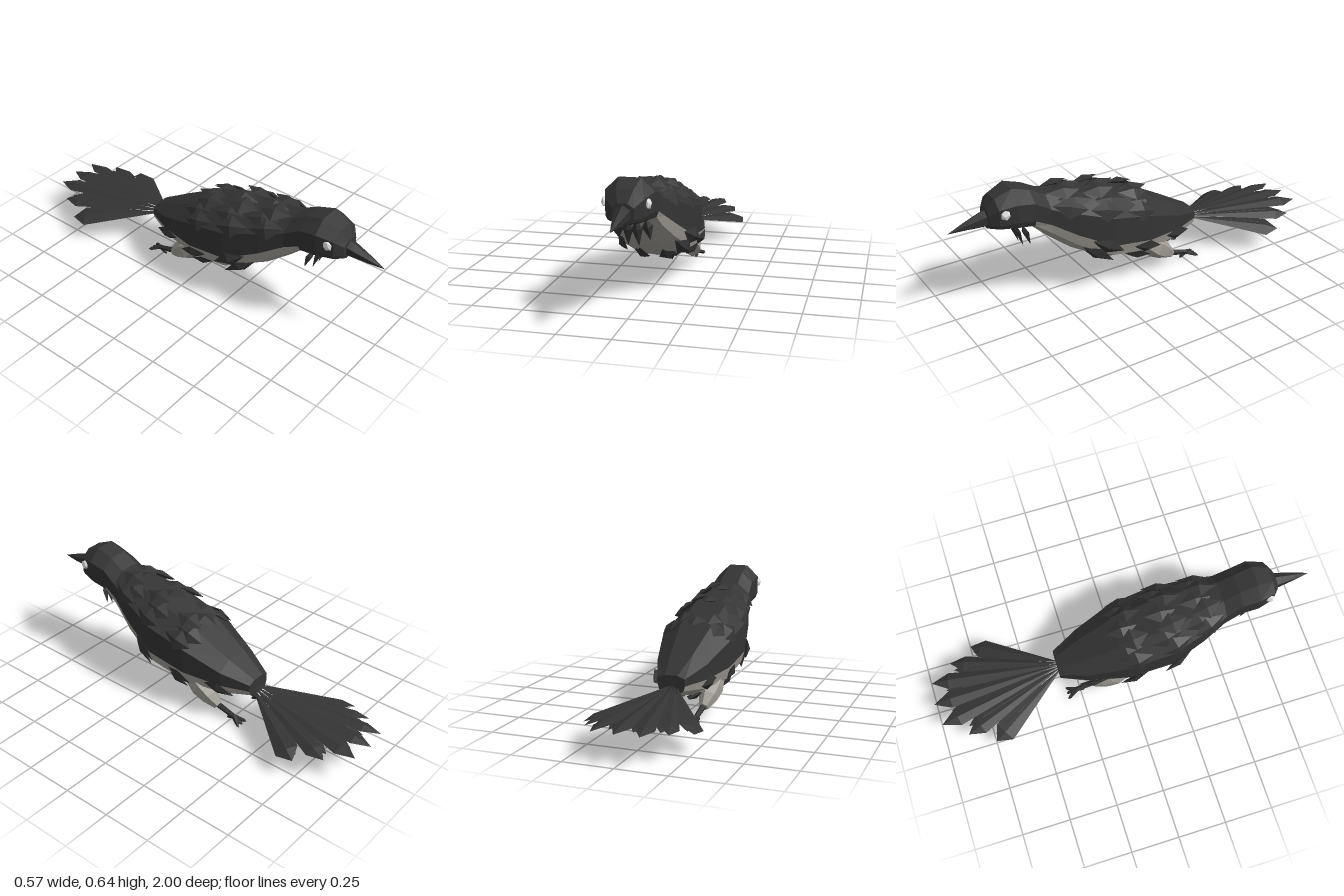
import * as THREE from 'three';

const V = (x, y, z) => new THREE.Vector3(x, y, z);
const material = (name, color) => {
  const m = new THREE.MeshStandardMaterial({ color, flatShading: true });
  m.name = name;
  return m;
};

// Body sections from face to rump: z, half width, top, upper side, lower side, bottom
const SECTIONS = [
  [0.81, 0.05, 0.55, 0.53, 0.48, 0.455],
  [0.775, 0.088, 0.605, 0.565, 0.485, 0.45],
  [0.69, 0.113, 0.64, 0.58, 0.49, 0.435],
  [0.60, 0.107, 0.61, 0.56, 0.47, 0.42],
  [0.52, 0.115, 0.565, 0.51, 0.43, 0.345],
  [0.40, 0.152, 0.535, 0.47, 0.355, 0.25],
  [0.22, 0.19, 0.505, 0.41, 0.26, 0.15],
  [0.0, 0.182, 0.43, 0.36, 0.225, 0.11],
  [-0.2, 0.13, 0.325, 0.28, 0.205, 0.12],
  [-0.34, 0.07, 0.25, 0.235, 0.2, 0.155],
];
const HALF = 6, SIDES = 12;

// Half outline of a section, from the middle of the back to the middle of the belly
function outline([z, w, top, up, low, bottom]) {
  return [V(0, top, z), V(w * 0.45, top, z), V(w, up, z), V(w, low, z),
    V(w * 0.9, low * 0.45 + bottom * 0.55, z), V(w * 0.42, bottom, z), V(0, bottom, z)];
}

function ring(section) {
  const half = outline(section);
  const other = half.slice(1, HALF).reverse().map((p) => V(-p.x, p.y, p.z));
  return [...half, ...other];
}

// Section at any z, and the point at u on its half outline
function sectionAt(z) {
  let j = 0;
  while (j < SECTIONS.length - 2 && SECTIONS[j + 1][0] > z) j++;
  const a = SECTIONS[j], b = SECTIONS[j + 1], t = (a[0] - z) / (a[0] - b[0]);
  return a.map((v, i) => v + (b[i] - v) * t);
}
function surface(z, u) {
  const half = outline(sectionAt(z)), i = Math.min(Math.floor(u), HALF - 1);
  return half[i].clone().lerp(half[i + 1], u - i);
}

function fromTriangles(points) {
  const g = new THREE.BufferGeometry().setFromPoints(points);
  g.computeVertexNormals();
  return g;
}

// Ridged diamond blade from base to tip, widest at fraction f
function feather(base, tip, up, width, height, f = 0.5) {
  const d = tip.clone().sub(base);
  const side = d.clone().cross(up).normalize();
  const n = side.clone().cross(d).normalize();
  const mid = base.clone().addScaledVector(d, f);
  const l = mid.clone().addScaledVector(side, width);
  const r = mid.clone().addScaledVector(side, -width);
  const t = mid.clone().addScaledVector(n, height);
  const b = mid.clone().addScaledVector(n, -height * 0.5);
  return fromTriangles([base, l, t, l, tip, t, tip, r, t, r, base, t,
    l, base, b, tip, l, b, r, tip, b, base, r, b]);
}

// Lathed limb along a to b with [radius, fraction] stations
function limb(a, b, stations, sides = 6) {
  const d = b.clone().sub(a), len = d.length();
  const g = new THREE.LatheGeometry(stations.map(([r, t]) => new THREE.Vector2(r, t * len)), sides);
  g.applyQuaternion(new THREE.Quaternion().setFromUnitVectors(V(0, 1, 0), d.normalize()));
  return g.translate(a.x, a.y, a.z);
}

export function createModel() {
  const plumage = material('dark plumage', 0x343434);
  const breast = material('grey breast', 0xa09c95);
  const horn = material('beak and feet', 0x303030);
  const eyeWhite = material('pale eye', 0xe4e4e4);

  const model = new THREE.Group();
  model.name = 'bird';
  const add = (name, geometry, mat, parent = model) => {
    const m = new THREE.Mesh(geometry, mat);
    m.name = name;
    parent.add(m);
    return m;
  };
  const group = (name) => {
    const g = new THREE.Group();
    g.name = name;
    model.add(g);
    return g;
  };

  // Body skin, split into dark back and grey belly
  const rings = SECTIONS.map(ring), dark = [], pale = [];
  for (let j = 0; j < rings.length - 1; j++) {
    for (let i = 0; i < SIDES; i++) {
      const k = (i + 1) % SIDES, p = rings[j], q = rings[j + 1];
      const belly = j >= 3 && i >= 3 && i < 9;
      (belly ? pale : dark).push(p[i], p[k], q[i], p[k], q[k], q[i]);
    }
  }
  const last = rings.length - 1;
  for (let i = 0; i < SIDES; i++) {
    const k = (i + 1) % SIDES;
    dark.push(V(0, 0.5, 0.815), rings[0][k], rings[0][i]);
    dark.push(V(0, 0.2, -0.34), rings[last][i], rings[last][k]);
  }
  add('headAndBack', fromTriangles(dark), plumage);
  add('belly', fromTriangles(pale), breast);

  // Beak
  add('upperBeak', limb(V(0, 0.505, 0.79), V(0, 0.47, 1), [[0.042, 0], [0.036, 0.2], [0.02, 0.6], [0, 1]]), horn);
  add('lowerBeak', limb(V(0, 0.485, 0.79), V(0, 0.472, 0.96), [[0.03, 0], [0.018, 0.5], [0, 1]], 5), horn);

  // Eyes
  for (const s of [1, -1]) {
    const eye = add(s > 0 ? 'leftEye' : 'rightEye', new THREE.IcosahedronGeometry(1, 0), eyeWhite);
    eye.scale.set(0.014, 0.026, 0.026);
    eye.position.set(s * 0.099, 0.54, 0.748);
  }

  // Throat feathers
  const throat = group('throatFeathers');
  for (const i of [-1.5, -0.5, 0.5, 1.5]) {
    const outer = Math.abs(i) > 1;
    add('throatFeather', feather(V(i * 0.04, 0.445, outer ? 0.65 : 0.67),
      V(i * 0.05, outer ? 0.338 : 0.312, outer ? 0.62 : 0.635),
      V(i * 0.2, 0, 1), 0.026, 0.016, 0.35), plumage, throat);
  }

  // Rows of raised feathers around the body, mirrored
  const scales = (parent, name, z, us, length, lift, width) => {
    us.forEach((u, n) => {
      for (const s of u === 0 ? [1] : [1, -1]) {
        const z0 = z + (n % 2) * 0.04;
        const base = surface(z0, u), tip = surface(z0 - length, u), c = sectionAt(z0);
        const out = V(base.x, base.y - (c[2] + c[5]) / 2, 0).normalize();
        tip.addScaledVector(out, lift(u));
        for (const p of [base, tip, out]) p.x *= s;
        add(name, feather(base, tip, out, width, 0.022, 0.5), plumage, parent);
      }
    });
  };
  const back = group('backFeathers');
  [[0.47, 0.042], [0.29, 0.055], [0.09, 0.05]].forEach(([z, lift]) =>
    scales(back, 'backFeather', z, [0, 0.8, 1.3, 1.75], 0.165, (u) => lift * (1 - u * 0.32), 0.056));
  const under = group('bellyFeathers');
  [[0.33, [3.2, 4.2, 5.2]], [0.1, [3.45, 4.35, 5.4]], [-0.11, [3.3, 5.3]]].forEach(([z, us]) =>
    scales(under, 'bellyFeather', z, us, 0.15, () => 0.026, 0.044));

  // Legs: thigh, shank and toes
  for (const s of [1, -1]) {
    const leg = group(s > 0 ? 'leftLeg' : 'rightLeg');
    add('thigh', limb(V(s * 0.113, 0.19, 0.01), V(s * 0.104, 0.055, -0.17),
      [[0, 0], [0.045, 0.08], [0.06, 0.42], [0.05, 0.7], [0.024, 1], [0, 1]]), breast, leg);
    const ankle = V(s * 0.102, 0.032, -0.27);
    add('shank', limb(V(s * 0.102, 0.062, -0.155), ankle, [[0, 0], [0.016, 0], [0.013, 1], [0, 1]], 5), horn, leg);
    for (const dx of [-0.032, 0, 0.032]) {
      add('toe', limb(ankle, V(s * 0.102 + dx, 0.008, -0.327), [[0, 0], [0.012, 0], [0.009, 0.8], [0, 1]], 5), horn, leg);
    }
    add('hindToe', limb(ankle, V(s * 0.102, 0.008, -0.225), [[0, 0], [0.011, 0], [0.008, 0.8], [0, 1]], 5), horn, leg);
  }

  // Fanned tail: long vanes with coverts filling the gaps between them
  const tail = group('tail');
  const tips = [[0, 0.155, -1], [0.115, 0.152, -0.985], [0.2, 0.135, -0.87], [0.27, 0.108, -0.745]];
  tips.forEach(([x, y, z], n) => {
    for (const s of n ? [1, -1] : [1]) {
      const base = V(s * n * 0.006, 0.2 - n * 0.003, -0.32);
      const up = V(s * n * 0.14, 1, 0);
      add('tailFeather', feather(base, V(s * x, y, z), up, n === 3 ? 0.058 : 0.046, 0.016, 0.87), plumage, tail);
      if (n) {
        const [px, py, pz] = tips[n - 1];
        add('tailCovert', feather(base, V(s * (x + px) / 2, (y + py) / 2 - 0.006, (z + pz) / 2 + 0.07),
          up, 0.044, 0.014, 0.85), plumage, tail);
      }
    }
  });
  return model;
}
